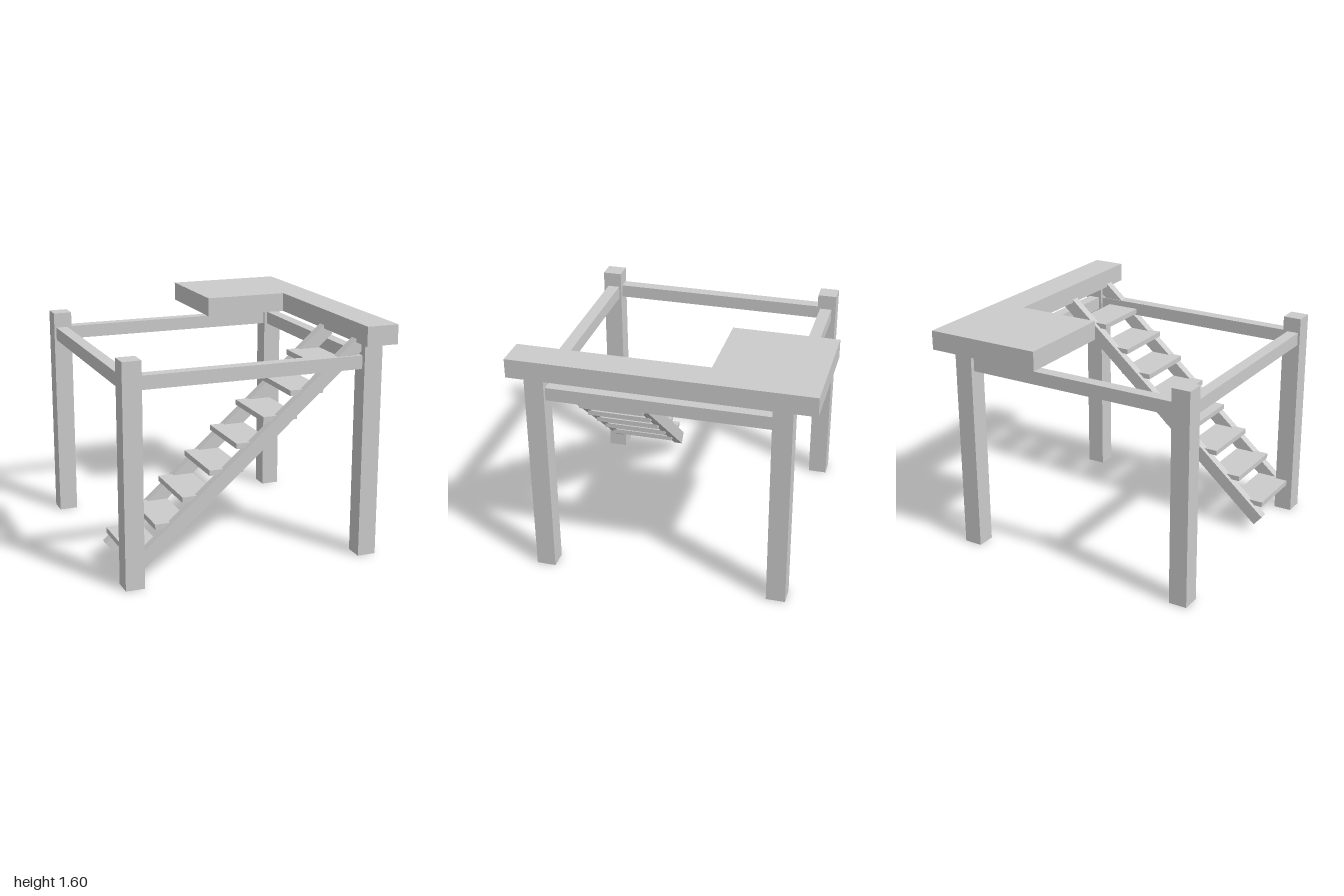
import * as THREE from 'three';

export function createModel() {
  const model = new THREE.Group();
  const material = new THREE.MeshStandardMaterial({ color: 0xcccccc, flatShading: true });

  function add(name, geometry) {
    const mesh = new THREE.Mesh(geometry, material);
    mesh.name = name;
    model.add(mesh);
    return mesh;
  }
  // Box given by its extents along each axis
  function box(name, [x0, x1], [y0, y1], [z0, z1]) {
    const mesh = add(name, new THREE.BoxGeometry(x1 - x0, y1 - y0, z1 - z0));
    mesh.position.set((x0 + x1) / 2, (y0 + y1) / 2, (z0 + z1) / 2);
    return mesh;
  }

  // Corner posts: the pair under the platform is slightly shorter
  for (const [end, z] of [['front', [0.77, 0.9]], ['back', [-0.84, -0.71]]]) {
    box(end + 'RightPost', [-0.91, -0.783], [0, 1.483], z);
    box(end + 'LeftPost', [0.73, 0.857], [0, 1.467], z);
  }

  // Rails between the posts
  const railY = [1.29, 1.38];
  box('frontRail', [-0.783, 0.73], railY, [0.785, 0.868]);
  box('backRail', [-0.783, 0.73], railY, [-0.81, -0.728]);
  box('rightRail', [-0.895, -0.815], railY, [-0.71, 0.77]);
  box('leftRail', [0.75, 0.83], railY, [-0.71, 0.77]);

  // L-shaped platform, drawn in plan and extruded upward
  const plan = [[0.11, 1], [0.11, 0.29], [0.69, 0.29], [0.69, -1], [0.91, -1], [0.91, 1]];
  const shape = new THREE.Shape(plan.map(([x, y]) => new THREE.Vector2(x, y)));
  const deck = new THREE.ExtrudeGeometry(shape, { depth: 0.13, bevelEnabled: false });
  deck.rotateX(-Math.PI / 2);
  add('platform', deck).position.y = 1.467;

  // Sloping stair stringers with square-cut ends
  const start = new THREE.Vector2(-0.855, 0.095);
  const end = new THREE.Vector2(0.728, 1.463);
  const run = end.clone().sub(start);
  for (const [name, z] of [['innerStringer', 0.35], ['outerStringer', 0.82]]) {
    const stringer = add(name, new THREE.BoxGeometry(run.length(), 0.091, 0.06));
    stringer.position.set((start.x + end.x) / 2, (start.y + end.y) / 2, z);
    stringer.rotation.z = run.angle();
  }

  // Treads, housed halfway into each stringer
  for (let i = 0; i < 8; i++) {
    const x = -0.868 + i * 0.185;
    const y = 0.195 + i * 0.158;
    box('tread' + (i + 1), [x, x + 0.235], [y, y + 0.036], [0.35, 0.82]);
  }

  return model;
}
